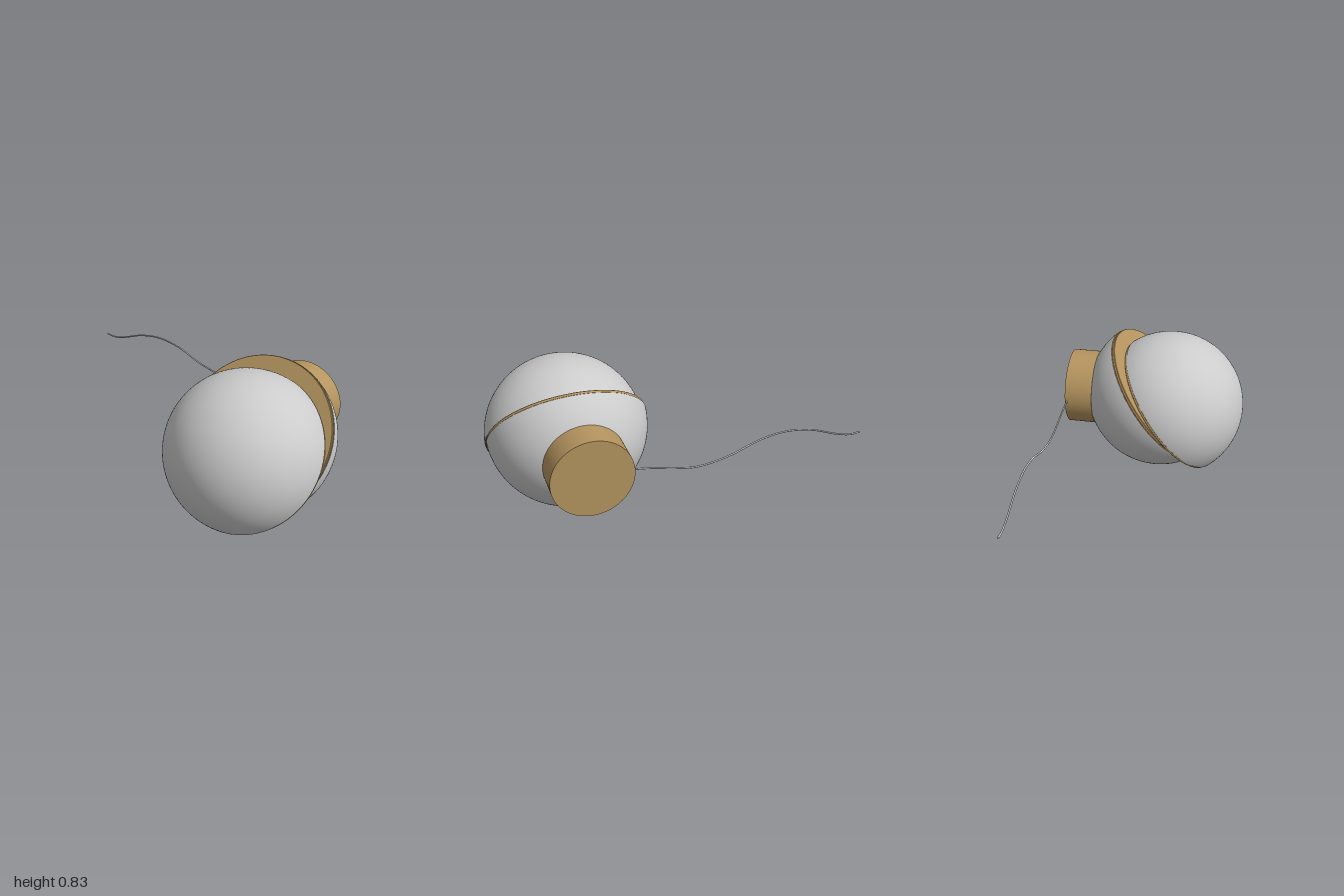
import * as THREE from 'three';

const R = 0.454;        // globe radius
const PLATE = 0.018;    // brass plate thickness
const SLIDE = 0.05;     // how far each half slides along the cut
const X = 0.545;        // lamp centre in x

export function createModel() {
  const model = new THREE.Group();
  const grey = new THREE.MeshStandardMaterial({ color: 0xcccccc });
  const brass = new THREE.MeshStandardMaterial({ color: 0xb5945f });

  const add = (parent, name, geometry, material) => {
    const mesh = new THREE.Mesh(geometry, material);
    mesh.name = name;
    parent.add(mesh);
    return mesh;
  };

  // Split globe: two half spheres on brass plates, slid apart along a tilted cut
  const globe = new THREE.Group();
  globe.name = 'splitGlobe';
  globe.position.set(X, 0.4145, 0.053);
  globe.rotation.x = THREE.MathUtils.degToRad(52);
  model.add(globe);

  const cutAngle = Math.acos(PLATE / R);
  for (const [name, side] of [['front', 1], ['rear', -1]]) {
    const half = new THREE.Group();
    half.name = name + 'Half';
    half.position.z = SLIDE * side;
    if (side < 0) half.rotation.x = Math.PI;
    globe.add(half);
    add(half, name + 'Dome', new THREE.SphereGeometry(R, 96, 40, 0, Math.PI * 2, 0, cutAngle), grey);
    // Plate with a slightly softened rim
    const r = 0.45, b = 0.003;
    const profile = [[0, 0], [r - b, 0], [r, b], [r, PLATE - b], [r - b, PLATE], [R - 0.001, PLATE], [0, PLATE]]
      .map(([x, y]) => new THREE.Vector2(x, y));
    const plate = new THREE.LatheGeometry(profile, 96).toNonIndexed();
    plate.computeVertexNormals();
    add(half, name + 'Plate', plate, brass);
  }

  // Round wall mount behind the globe
  const mount = add(model, 'wallMount', new THREE.CylinderGeometry(0.226, 0.226, 0.166, 96), brass);
  mount.rotation.x = Math.PI / 2;
  mount.position.set(X - 0.001, 0.448, -0.456);

  // Wavy power cord leaving the side of the mount
  const path = new THREE.CatmullRomCurve3([
    [0.36, 0.458, -0.525], [0.23, 0.443, -0.528], [0.09, 0.414, -0.531], [-0.03, 0.4, -0.533],
    [-0.2, 0.428, -0.533], [-0.4, 0.499, -0.533], [-0.55, 0.518, -0.533], [-0.7, 0.495, -0.533],
    [-0.85, 0.441, -0.533], [-0.94, 0.42, -0.533], [-1, 0.425, -0.533],
  ].map((p) => new THREE.Vector3(...p)));
  add(model, 'cord', new THREE.TubeGeometry(path, 120, 0.005, 10), grey);

  // Closed end of the cord
  const end = add(model, 'cordEnd', new THREE.CircleGeometry(0.005, 10), grey);
  end.position.set(-1, 0.425, -0.533);
  end.rotation.y = -Math.PI / 2;

  return model;
}
